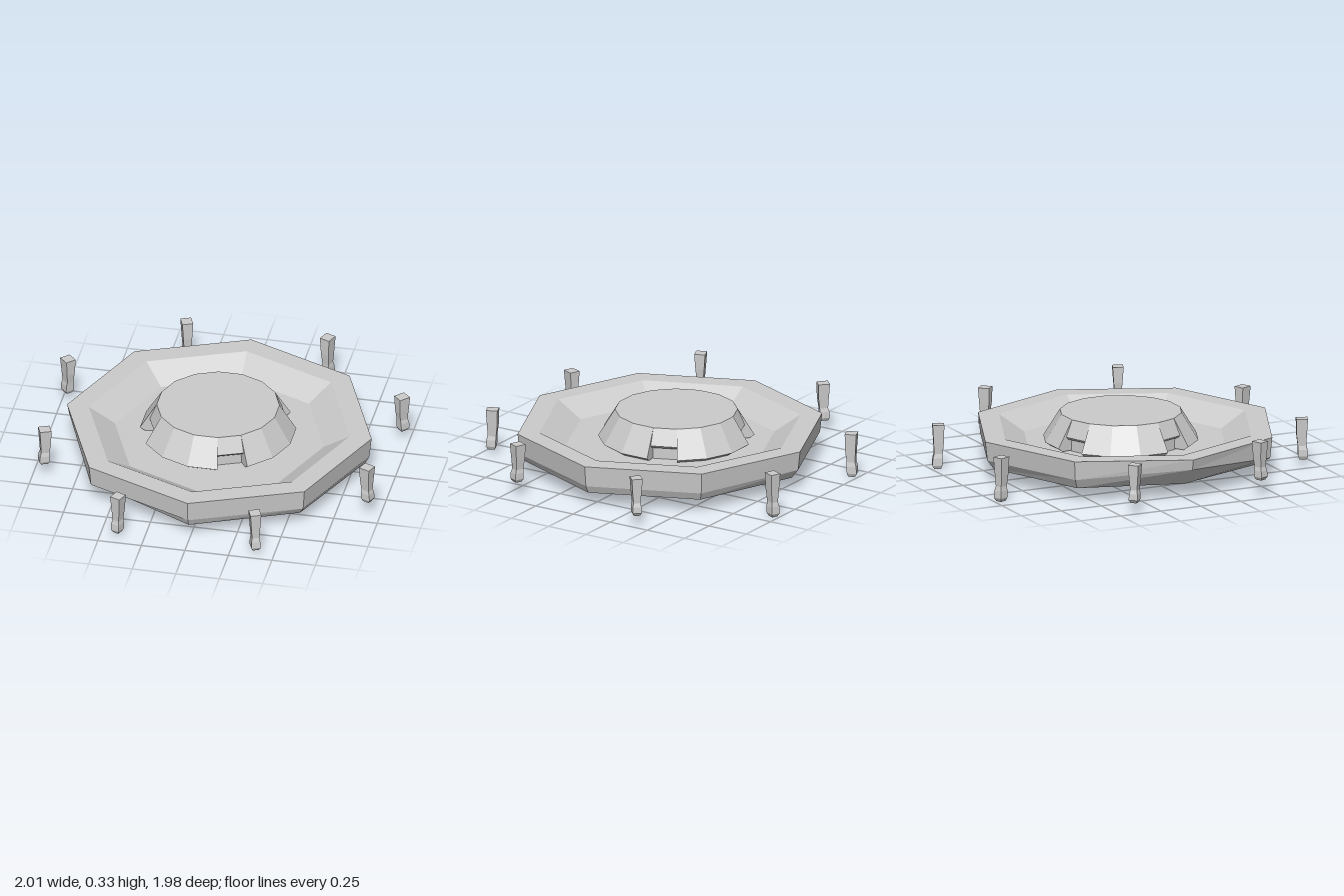
import * as THREE from 'three';

const material = new THREE.MeshStandardMaterial({ color: 0xcccccc, flatShading: true });
const rad = THREE.MathUtils.degToRad;

// point at radius r and height y; the angle runs from the back (-z) towards +x
const polar = (r, y, deg) => new THREE.Vector3(r * Math.sin(rad(deg)), y, -r * Math.cos(rad(deg)));

// faceted skin over a grid of points, rows rising on the outer side
function skin(rows, name) {
  const pos = [];
  for (let i = 0; i < rows.length - 1; i++) {
    for (let j = 0; j < rows[i].length - 1; j++) {
      const a = rows[i][j], b = rows[i][j + 1], c = rows[i + 1][j], d = rows[i + 1][j + 1];
      for (const [p, q, r] of [[a, c, b], [b, c, d]]) {
        if (p.distanceTo(q) * q.distanceTo(r) * r.distanceTo(p) < 1e-10) continue;
        pos.push(...p.toArray(), ...q.toArray(), ...r.toArray());
      }
    }
  }
  const g = new THREE.BufferGeometry();
  g.setAttribute('position', new THREE.Float32BufferAttribute(pos, 3));
  g.computeVertexNormals();
  const mesh = new THREE.Mesh(g, material);
  mesh.name = name;
  return mesh;
}

// closed ring of n points; r and y may be numbers or per-corner functions
function ring(n, r, y, start = 0) {
  const at = (v, i) => (typeof v === 'function' ? v(i % n) : v);
  return Array.from({ length: n + 1 }, (_, i) => polar(at(r, i), at(y, i), start + (i * 360) / n));
}

// solid arc: a closed convex profile of [r, y] swept over 22.5 degree steps
function arc(profile, start, steps, name) {
  const mid = [0, 1].map(k => profile.reduce((s, p) => s + p[k], 0) / profile.length);
  const end = start + steps * 22.5;
  const rows = [...profile, profile[0]].map(([r, y]) => [
    polar(mid[0], mid[1], start),
    ...Array.from({ length: steps + 1 }, (_, i) => polar(r, y, start + i * 22.5)),
    polar(mid[0], mid[1], end),
  ]);
  return skin(rows, name);
}

// octagonal dish with an uneven lower chamfer and a sunken floor
function makeDish() {
  const bottomR = [0.82, 0.84, 0.84, 0.83, 0.84, 0.78, 0.76, 0.83];
  const midY = [0.13, 0.12, 0.12, 0.12, 0.12, 0.12, 0.18, 0.13];
  const dish = skin([
    ring(8, 0, 0.076),
    ring(8, i => bottomR[i], 0.076),
    ring(8, 0.862, i => midY[i]),
    ring(8, 0.875, 0.24),
    ring(8, 0.75, 0.24),
    ring(8, 0.60, 0.15),
    ring(8, 0, 0.15),
  ], 'dish');
  dish.position.set(-0.01, 0, 0.01);
  return dish;
}

// raised hub: flat top, four wide flared panels and four short ones between
function makeHub() {
  const hub = new THREE.Group();
  hub.name = 'hub';
  hub.add(skin([
    ring(16, 0.35, 0.14, -11.25),
    ring(16, 0.345, 0.33, -11.25),
    ring(16, 0, 0.33, -11.25),
  ], 'hubCore'));
  const wide = [[0.33, 0.155], [0.41, 0.155], [0.44, 0.175], [0.345, 0.33]];
  const short = [[0.33, 0.22], [0.37, 0.22], [0.385, 0.235], [0.345, 0.328]];
  for (let k = 0; k < 4; k++) {
    hub.add(arc(wide, k * 90 - 11.25, 3, 'widePanel'));
    hub.add(arc(short, k * 90 + 56.25, 1, 'shortPanel'));
  }
  hub.position.set(-0.024, 0, -0.024);
  return hub;
}

// tapered four-sided post with a blunt foot, leaning slightly along its height
function makePost(x, z, bottom, top, turn) {
  const h = top - bottom;
  // half width, depth, height fraction, outward shift
  const sections = [
    [0, 0, 0, 0.004], [0.017, 0.019, 0, 0.004], [0.026, 0.028, 0.08, 0.006],
    [0.025, 0.027, 0.24, 0.004], [0.020, 0.024, 0.34, 0],
    [0.025, 0.029, 0.6, -0.002], [0.031, 0.033, 1, 0], [0, 0, 1, 0],
  ];
  const rows = sections.map(([w, d, f, s]) => ring(4, Math.SQRT2, f * h, 45)
    .map(p => new THREE.Vector3(p.x * w, p.y, p.z * d + s)));
  const post = skin(rows, 'post');
  post.position.set(x, bottom, z);
  post.rotation.y = rad(turn);
  return post;
}

export function createModel() {
  const model = new THREE.Group();
  model.add(makeDish(), makeHub());

  // surrounding posts
  const posts = [
    [0.39, 0.94, 0.03, 0.265, 22.5], [0.925, 0.42, 0.093, 0.315, 67.5],
    [0.955, -0.395, 0.06, 0.28, 135], [0.41, -0.955, 0, 0.255, 157.5],
    [-0.40, -0.955, 0, 0.255, 202.5], [-0.965, -0.395, 0.06, 0.28, 225],
    [-0.93, 0.405, 0.093, 0.315, 292.5], [-0.40, 0.925, 0.03, 0.265, 337.5],
  ];
  for (const p of posts) model.add(makePost(...p));

  // small studs under the dish
  for (let k = 0; k < 4; k++) {
    const stud = new THREE.Mesh(new THREE.SphereGeometry(0.012, 8, 6), material);
    stud.name = 'stud';
    stud.position.copy(polar(0.265, 0.076, 25 + k * 90));
    stud.position.x -= 0.025;
    stud.position.z -= 0.02;
    model.add(stud);
  }
  return model;
}
